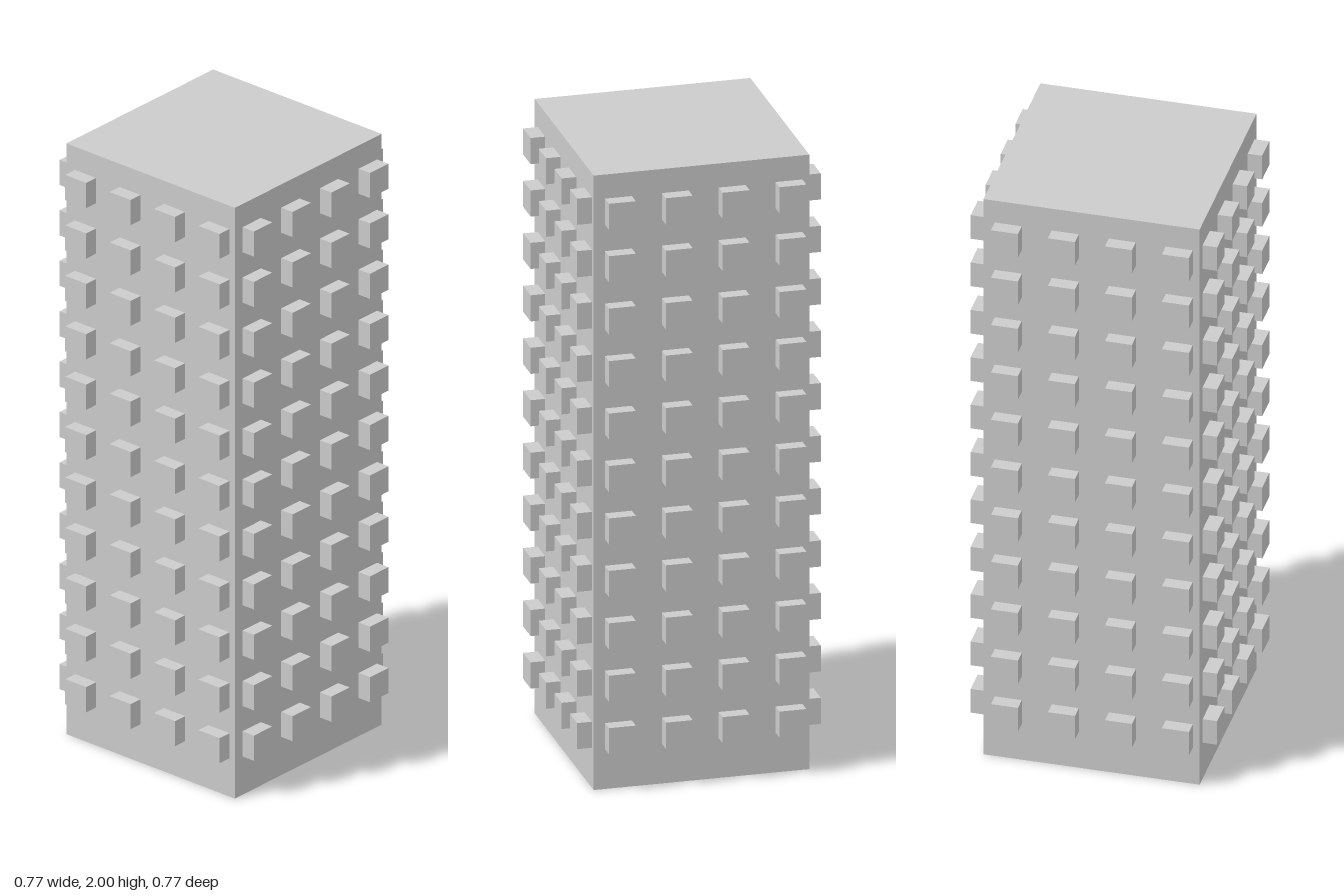
import * as THREE from 'three';

const HALF = 0.34;      // half width of the tower
const BLOCK = 0.085;    // window block width and height
const DEPTH = 0.046;    // how far a block stands out
const EMBED = 0.02;     // how far a block sinks into the wall
const COLUMNS = 4, ROWS = 11;

export function createModel() {
  const model = new THREE.Group();
  model.name = 'towerBlock';
  const material = new THREE.MeshStandardMaterial({ color: 0xcccccc });

  // Main shaft
  const tower = new THREE.Mesh(new THREE.BoxGeometry(HALF * 2, 2, HALF * 2), material);
  tower.name = 'tower';
  tower.position.y = 1;
  model.add(tower);

  // One grid of window blocks per wall, the same grid turned around the tower
  const blockGeometry = new THREE.BoxGeometry(BLOCK, BLOCK, DEPTH + EMBED);
  ['front', 'left', 'back', 'right'].forEach((side, i) => {
    const wall = new THREE.Group();
    wall.name = side + 'Windows';
    wall.rotation.y = i * Math.PI / 2;
    for (let row = 0; row < ROWS; row++) {
      for (let col = 0; col < COLUMNS; col++) {
        const block = new THREE.Mesh(blockGeometry, material);
        block.name = 'window';
        block.position.set(-0.262 + col * 0.1793, 0.172 + row * 0.1707, HALF + (DEPTH - EMBED) / 2);
        wall.add(block);
      }
    }
    model.add(wall);
  });

  return model;
}
